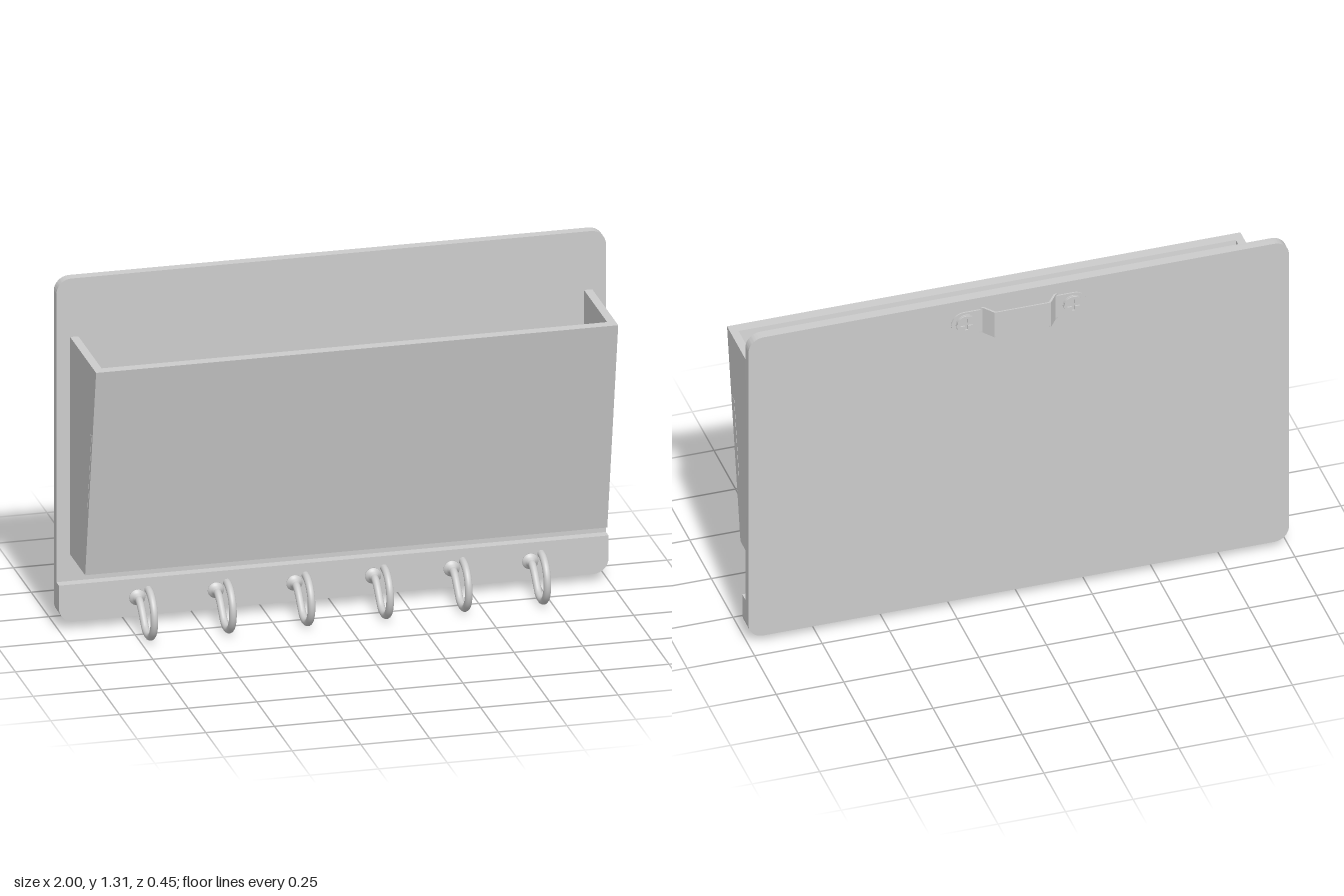
import * as THREE from 'three';
import { toCreasedNormals } from 'three/addons/utils/BufferGeometryUtils.js';

const material = new THREE.MeshStandardMaterial({ color: 0xcccccc });

function add(parent, name, geometry) {
  const mesh = new THREE.Mesh(geometry, material);
  mesh.name = name;
  parent.add(mesh);
  return mesh;
}

const polygon = (points) => new THREE.Shape(points.map(([a, b]) => new THREE.Vector2(a, b)));

// Rectangle with separate bottom and top corner radii
function roundedRect(x0, y0, x1, y1, bottom, top) {
  const s = new THREE.Shape();
  s.moveTo(x0 + bottom, y0);
  s.lineTo(x1 - bottom, y0);
  if (bottom) s.absarc(x1 - bottom, y0 + bottom, bottom, -Math.PI / 2, 0);
  s.lineTo(x1, y1 - top);
  if (top) s.absarc(x1 - top, y1 - top, top, 0, Math.PI / 2);
  s.lineTo(x0 + top, y1);
  if (top) s.absarc(x0 + top, y1 - top, top, Math.PI / 2, Math.PI);
  s.lineTo(x0, y0 + bottom);
  if (bottom) s.absarc(x0 + bottom, y0 + bottom, bottom, Math.PI, Math.PI * 1.5);
  return s;
}

// Outline in x, y extruded from z0 to z1
function plate(shape, z0, z1) {
  const g = new THREE.ExtrudeGeometry(shape, { depth: z1 - z0, bevelEnabled: false, curveSegments: 12 });
  g.translate(0, 0, z0);
  return toCreasedNormals(g, 0.6);
}

// Outline in z, y extruded from x0 to x1
function crossPlate(points, x0, x1) {
  const g = new THREE.ExtrudeGeometry(polygon(points), { depth: x1 - x0, bevelEnabled: false });
  return g.rotateY(-Math.PI / 2).translate(x1, 0, 0);
}

function createPocket() {
  const pocket = new THREE.Group();
  pocket.name = 'pocket';
  const back = -0.143, low = 0.27, high = 1.09, floorTop = 0.303;
  const frontZ = (y) => 0.07 + ((y - low) / (high - low)) * 0.155;
  const side = [[back, low], [frontZ(low), low], [frontZ(high), high], [back, high]];
  for (const s of [-1, 1]) {
    const name = s > 0 ? 'left' : 'right';
    add(pocket, name + 'Side', crossPlate(side, s * 0.935 - 0.015, s * 0.935 + 0.015));
    // Tab of the front panel showing through the side
    const tab = [[0.107, 0.54], [0.161, 0.828], [0.14, 0.828], [0.086, 0.54]].reverse();
    add(pocket, name + 'Tab', crossPlate(tab, s * 0.941 - 0.01, s * 0.941 + 0.01));
  }
  add(pocket, 'pocketFloor', crossPlate(
    [[back, low], [frontZ(low), low], [frontZ(floorTop), floorTop], [back, floorTop]], -0.92, 0.92));
  add(pocket, 'frontPanel', crossPlate(
    [[frontZ(floorTop) - 0.04, floorTop], [frontZ(floorTop), floorTop],
      [frontZ(high), high], [frontZ(high) - 0.04, high]], -0.92, 0.92));
  return pocket;
}

function createHook() {
  const hook = new THREE.Group();
  hook.name = 'hook';
  const points = [];
  // Open ring, then the bend back to the rail
  for (let deg = 92; deg >= -118; deg -= 15) {
    const a = THREE.MathUtils.degToRad(deg);
    points.push(new THREE.Vector3(0, 0.1 + 0.086 * Math.sin(a), 0.05 + 0.086 * Math.cos(a)));
  }
  for (const [z, y] of [[-0.02, 0.052], [-0.048, 0.08], [-0.075, 0.097], [-0.108, 0.1]]) {
    points.push(new THREE.Vector3(0, y, z));
  }
  const path = new THREE.CatmullRomCurve3(points);
  const radius = 0.0138;
  add(hook, 'hookWire', new THREE.TubeGeometry(path, 64, radius, 14));
  const tip = add(hook, 'hookTip', new THREE.CircleGeometry(radius, 14));
  tip.position.copy(points[0]);
  tip.quaternion.setFromUnitVectors(new THREE.Vector3(0, 0, 1), path.getTangent(0).negate());
  // Flared collar against the rail
  const profile = [[0, 0], [0.03, 0], [0.029, 0.004], [0.022, 0.009], [0.017, 0.015], [0.0135, 0.024]]
    .map(([r, h]) => new THREE.Vector2(r, h));
  const collar = add(hook, 'hookCollar', new THREE.LatheGeometry(profile, 24));
  collar.rotation.x = Math.PI / 2;
  collar.position.set(0, 0.1, -0.108);
  return hook;
}

function createScrew() {
  const screw = new THREE.Group();
  screw.name = 'screw';
  add(screw, 'screwBase', new THREE.CylinderGeometry(0.037, 0.037, 0.004, 28).rotateX(Math.PI / 2))
    .position.z = -0.002;
  // Head ring with a cross recess
  const head = new THREE.Shape().absarc(0, 0, 0.035, 0, Math.PI * 2);
  const a = 0.006, b = 0.023;
  head.holes.push(polygon([[a, a], [a, b], [-a, b], [-a, a], [-b, a], [-b, -a],
    [-a, -a], [-a, -b], [a, -b], [a, -a], [b, -a], [b, a]]));
  add(screw, 'screwHead', plate(head, -0.009, -0.004));
  return screw;
}

function createHanger() {
  const hanger = new THREE.Group();
  hanger.name = 'sawtoothHanger';
  const y = 1.215, low = 1.162, high = 1.268, boardBack = -0.18, thick = 0.005, raised = -0.227;
  for (const s of [-1, 1]) {
    // Flat ear with a round end
    const ear = new THREE.Shape();
    ear.moveTo(0.135, y - 0.046);
    ear.lineTo(0.204, y - 0.046);
    ear.absarc(0.204, y, 0.046, -Math.PI / 2, Math.PI / 2);
    ear.lineTo(0.135, y + 0.046);
    const earMesh = add(hanger, 'hangerEar', plate(ear, boardBack - thick, boardBack));
    if (s < 0) earMesh.rotation.set(0, 0, Math.PI), earMesh.position.y = 2 * y;
    // Sloped step up to the bridge
    const ramp = polygon([[s * 0.145, boardBack], [s * 0.135, boardBack - thick],
      [s * 0.104, raised], [s * 0.098, raised + thick], [s * 0.13, boardBack]]);
    const g = new THREE.ExtrudeGeometry(ramp, { depth: high - low, bevelEnabled: false });
    add(hanger, 'hangerStep', g.rotateX(Math.PI / 2).translate(0, high, 0));
    const screw = createScrew();
    screw.position.set(s * 0.198, y, boardBack - thick);
    hanger.add(screw);
  }
  // Bridge with teeth along its lower edge
  const teeth = 5, outline = [[0.104, high], [-0.104, high], [-0.104, low]];
  for (let i = 0; i < teeth; i++) {
    const x = -0.104 + (0.208 * i) / teeth, w = 0.208 / teeth;
    outline.push([x + w / 2, low + 0.03], [x + w, low]);
  }
  add(hanger, 'hangerBridge', plate(polygon(outline), raised, raised + thick));
  return hanger;
}

export function createModel() {
  const model = new THREE.Group();
  model.name = 'wallOrganizer';
  add(model, 'backBoard', plate(roundedRect(-1, 0.03, 1, 1.31, 0.055, 0.055), -0.18, -0.143));
  add(model, 'hookRail', plate(roundedRect(-1, 0.03, 1, 0.17, 0.055, 0), -0.143, -0.107));
  model.add(createPocket());
  for (let i = 0; i < 6; i++) {
    const hook = createHook();
    hook.position.x = (i - 2.5) * 0.286;
    model.add(hook);
  }
  model.add(createHanger());
  return model;
}
